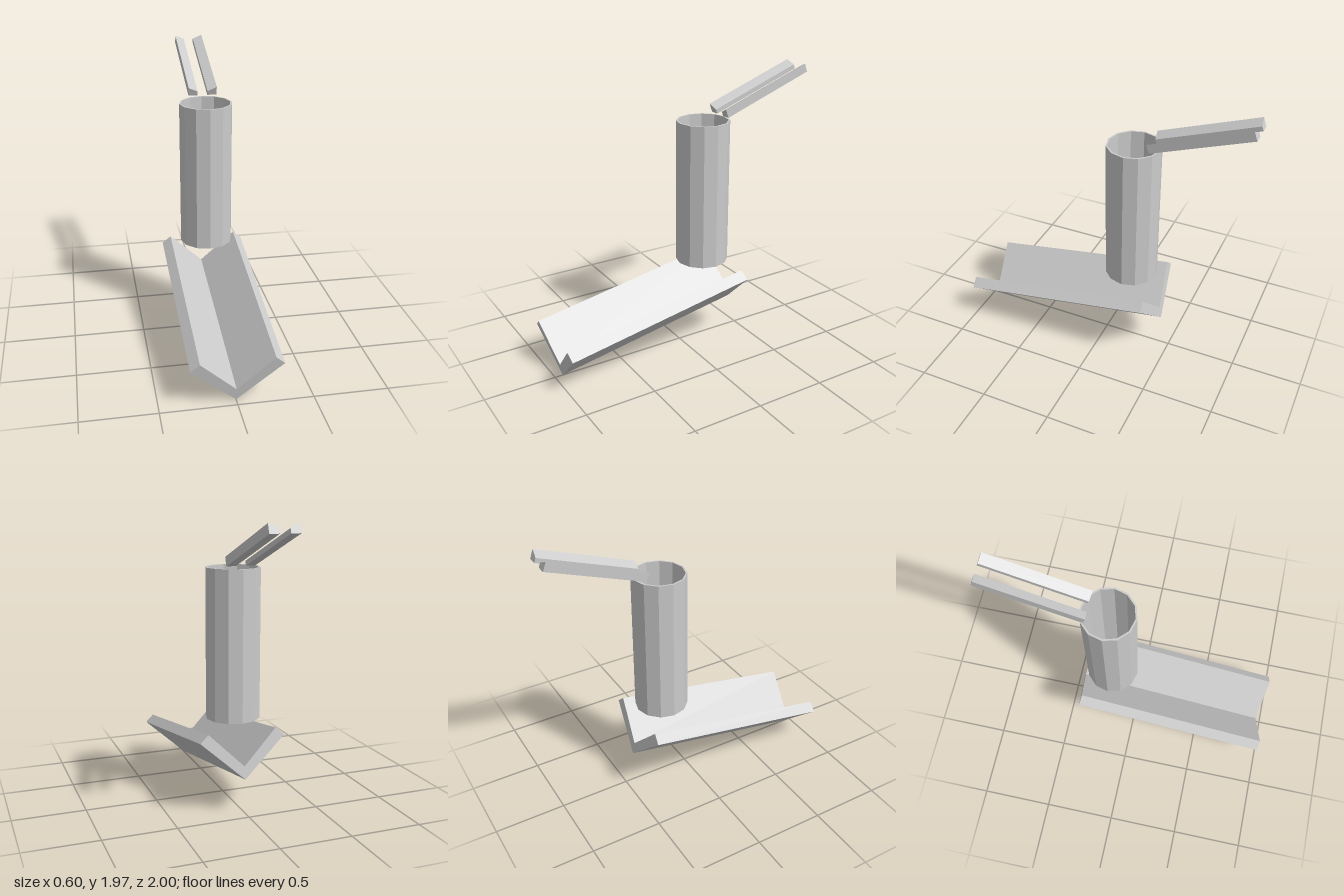
import * as THREE from 'three';

const material = new THREE.MeshStandardMaterial({ color: 0xcccccc, flatShading: true });

// Cross-section extruded backwards (towards -z) from the origin, then pitched and placed
function beam(name, points, length, pitch, y, z) {
  const shape = new THREE.Shape(points.map(([px, py]) => new THREE.Vector2(px, py)));
  const geometry = new THREE.ExtrudeGeometry(shape, { depth: length, bevelEnabled: false });
  geometry.translate(0, 0, -length);
  const mesh = new THREE.Mesh(geometry, material);
  mesh.name = name;
  mesh.rotation.x = THREE.MathUtils.degToRad(pitch);
  mesh.position.set(0, y, z);
  return mesh;
}

export function createModel() {
  const model = new THREE.Group();
  model.name = 'model';

  // V-shaped trough sloping down to the front
  model.add(beam('trough', [
    [0, 0], [0.302, 0.274], [0.242, 0.328], [0, 0.089], [-0.242, 0.328], [-0.302, 0.274],
  ], 1.397, 10, 0.003, 0.943));

  // Open twelve-sided tube with a thin wall
  const outer = 0.186, inner = 0.174, bottom = 0.62, top = 1.65;
  const profile = [[inner, bottom], [outer, bottom], [outer, top], [inner, top], [inner, bottom]]
    .map(([r, y]) => new THREE.Vector2(r, y));
  const tube = new THREE.Mesh(new THREE.LatheGeometry(profile, 12), material);
  tube.name = 'tube';
  tube.position.z = -0.19;
  model.add(tube);

  // Pair of rails rising to the back, tops sloping inwards
  for (const [name, s] of [['leftRail', 1], ['rightRail', -1]]) {
    model.add(beam(name, [
      [s * 0.035, 0], [s * 0.1, 0], [s * 0.1, 0.063], [s * 0.035, 0.032],
    ], 0.714, 20, 1.668, -0.33));
  }
  return model;
}
